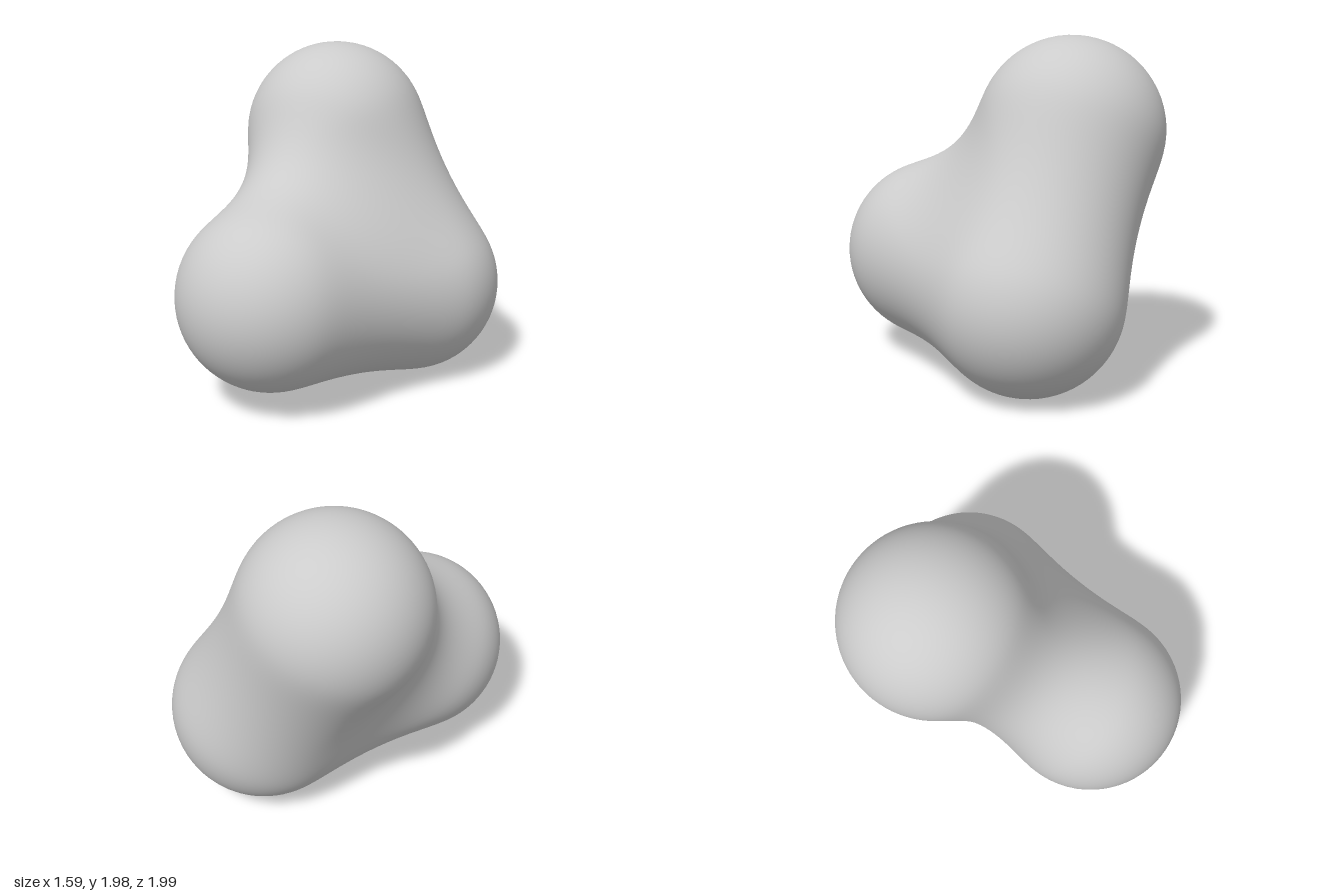
import * as THREE from 'three';

// Three soft balls that melt into one another
const BALLS = [
  new THREE.Vector3(-0.25, 1.44, -0.45), // upper back
  new THREE.Vector3(-0.21, 0.65, 0.45), // lower front
  new THREE.Vector3(0.25, 0.545, -0.45), // lower side
];
const RADIUS = 0.545; // visible radius of a lone ball
const REACH2 = 1.385; // squared distance at which a ball's pull ends
const LEVEL = (1 - RADIUS ** 2 / REACH2) ** 3;

// Summed pull of the balls at p; also gathers the outward normal if asked
function field(p, normal) {
  let sum = 0;
  if (normal) normal.set(0, 0, 0);
  for (const c of BALLS) {
    const k = 1 - p.distanceToSquared(c) / REACH2;
    if (k <= 0) continue;
    sum += k ** 3;
    if (normal) normal.addScaledVector(p.clone().sub(c), k * k);
  }
  if (normal) normal.normalize();
  return sum;
}

export function createModel() {
  const group = new THREE.Group();
  group.name = 'blob';

  // Push every point of a sphere outward until it meets the blended surface
  const centre = new THREE.Vector3();
  BALLS.forEach((c) => centre.addScaledVector(c, 1 / BALLS.length));
  const geometry = new THREE.IcosahedronGeometry(1, 26);
  const pos = geometry.attributes.position;
  const nor = geometry.attributes.normal;
  const dir = new THREE.Vector3(), p = new THREE.Vector3(), n = new THREE.Vector3();
  for (let i = 0; i < pos.count; i++) {
    dir.fromBufferAttribute(pos, i).normalize();
    let near = 0, far = 1.6;
    for (let step = 0; step < 24; step++) {
      const mid = (near + far) / 2;
      p.copy(centre).addScaledVector(dir, mid);
      if (field(p) > LEVEL) near = mid;
      else far = mid;
    }
    p.copy(centre).addScaledVector(dir, near);
    field(p, n);
    pos.setXYZ(i, p.x, p.y, p.z);
    nor.setXYZ(i, n.x, n.y, n.z);
  }

  const body = new THREE.Mesh(geometry, new THREE.MeshStandardMaterial({ color: 0xcccccc }));
  body.name = 'mergedBalls';
  group.add(body);
  return group;
}
